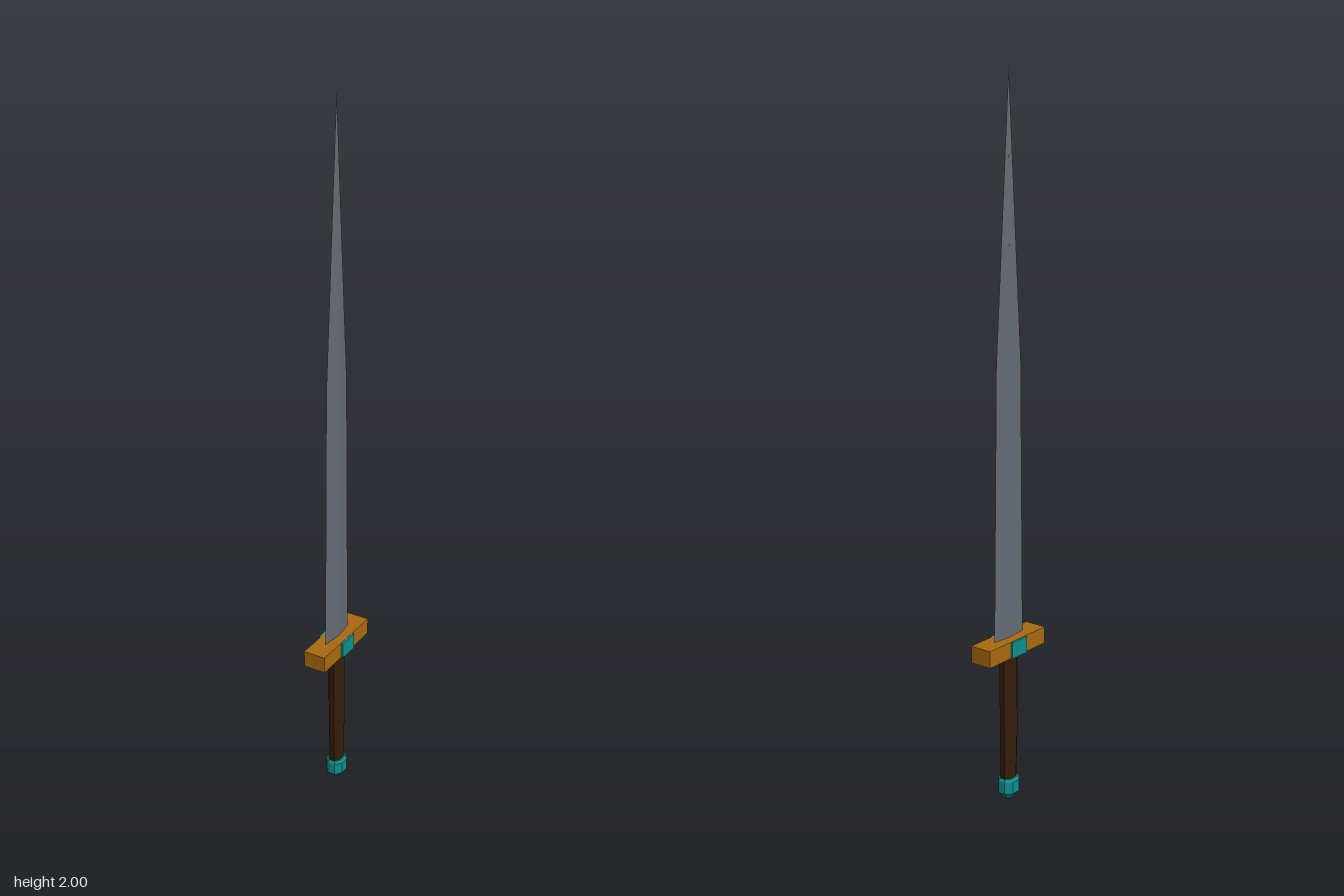
import * as THREE from 'three';

const material = (name, color) => {
  const m = new THREE.MeshStandardMaterial({ color, flatShading: true });
  m.name = name;
  return m;
};

// Joins cross-section loops, listed bottom to top, and caps both ends
function loft(loops) {
  const n = loops[0].length, pos = [];
  const tri = (a, b, c) => pos.push(...a, ...b, ...c);
  for (let i = 0; i < loops.length - 1; i++) {
    for (let j = 0; j < n; j++) {
      const k = (j + 1) % n, lo = loops[i], hi = loops[i + 1];
      tri(lo[j], hi[j], lo[k]);
      tri(lo[k], hi[j], hi[k]);
    }
  }
  const first = loops[0], last = loops[loops.length - 1];
  for (let j = 1; j < n - 1; j++) {
    tri(first[0], first[j], first[j + 1]);
    tri(last[0], last[j + 1], last[j]);
  }
  const g = new THREE.BufferGeometry();
  g.setAttribute('position', new THREE.Float32BufferAttribute(pos, 3));
  g.computeVertexNormals();
  return g;
}

// Diamond and eight-sided sections: height, half size in x, half size in z
const diamond = ([y, x, z]) => [[x, y, 0], [0, y, z], [-x, y, 0], [0, y, -z]];
const octagon = ([y, x, z]) => Array.from({ length: 8 }, (_, i) => {
  const a = (i + 0.5) * Math.PI / 4, r = 1 / Math.cos(Math.PI / 8);
  return [Math.cos(a) * x * r, y, Math.sin(a) * z * r];
});

export function createModel() {
  const group = new THREE.Group();
  const steel = material('steel', 0x646b74);
  const bronze = material('bronze', 0xa8690f);
  const teal = material('teal', 0x0f8f8c);
  const leather = material('dark leather', 0x341d09);

  const add = (name, geometry, mat, y = 0) => {
    const mesh = new THREE.Mesh(geometry, mat);
    mesh.name = name;
    mesh.position.y = y;
    group.add(mesh);
  };

  // Blade: narrow diamond section, tapering to a point
  add('blade', loft([
    [0.48, 0.007, 0.061], [1.25, 0.006, 0.051], [2, 0.0003, 0.0005],
  ].map(diamond)), steel);

  // Crossguard with an inset block showing on both flat sides
  add('crossguard', new THREE.BoxGeometry(0.066, 0.048, 0.24), bronze, 0.465);
  add('guardInlay', new THREE.BoxGeometry(0.079, 0.046, 0.062), teal, 0.465);

  // Grip: faceted oval, a little slimmer towards the pommel
  add('grip', loft([
    [0.05, 0.017, 0.027], [0.19, 0.019, 0.029], [0.445, 0.02, 0.03],
  ].map(octagon)), leather);

  // Pommel: faceted cap with a blunt lower end
  add('pommel', loft([
    [0, 0.006, 0.008], [0.025, 0.027, 0.032], [0.06, 0.027, 0.032], [0.068, 0.021, 0.027],
  ].map(octagon)), teal);

  return group;
}
